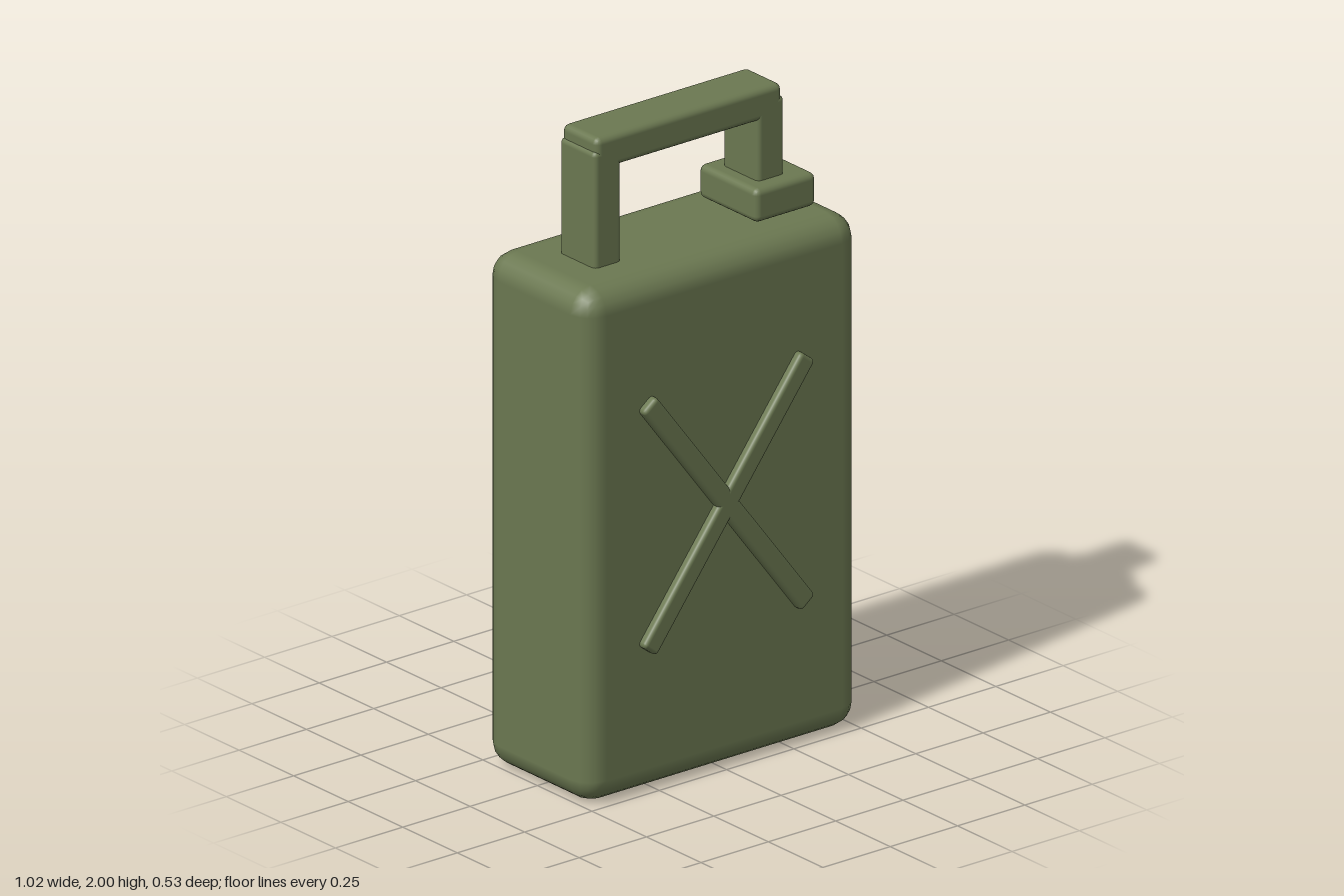
import * as THREE from 'three';
import { RoundedBoxGeometry } from 'three/addons/geometries/RoundedBoxGeometry.js';

export function createModel() {
  const model = new THREE.Group();
  model.name = 'fuelCanister';
  const olive = new THREE.MeshStandardMaterial({ color: 0x6b7851 });
  olive.name = 'olivePaint';

  // Rounded block given by its size, bevel radius and centre
  function block(name, size, radius, position, parent = model) {
    const mesh = new THREE.Mesh(new RoundedBoxGeometry(...size, 2, radius), olive);
    mesh.name = name;
    mesh.position.set(...position);
    parent.add(mesh);
    return mesh;
  }

  // Tank
  block('tank', [1.024, 1.6, 0.48], 0.075, [0, 0.8, 0]);

  // Carrying handle: two posts and a grip
  const handle = new THREE.Group();
  handle.name = 'handle';
  model.add(handle);
  for (const side of [-1, 1]) {
    block(side > 0 ? 'leftPost' : 'rightPost', [0.1, 0.44, 0.164], 0.016,
      [side * 0.303, 1.74, 0], handle);
  }
  block('grip', [0.69, 0.1, 0.164], 0.02, [0, 1.95, 0], handle);

  // Filler cap around the foot of the left post
  block('fillerCap', [0.225, 0.105, 0.268], 0.02, [0.317, 1.663, 0]);

  // Crossed stiffening ribs on the front and back
  for (const face of [-1, 1]) {
    const ribs = new THREE.Group();
    ribs.name = face > 0 ? 'frontRibs' : 'backRibs';
    ribs.position.set(0, 0.833, face * 0.24);
    model.add(ribs);
    for (const lean of [-1, 1]) {
      const rib = block(lean > 0 ? 'risingRib' : 'fallingRib', [0.97, 0.064, 0.054], 0.013, [0, 0, 0], ribs);
      rib.rotation.z = lean * 0.918;
    }
  }
  return model;
}
